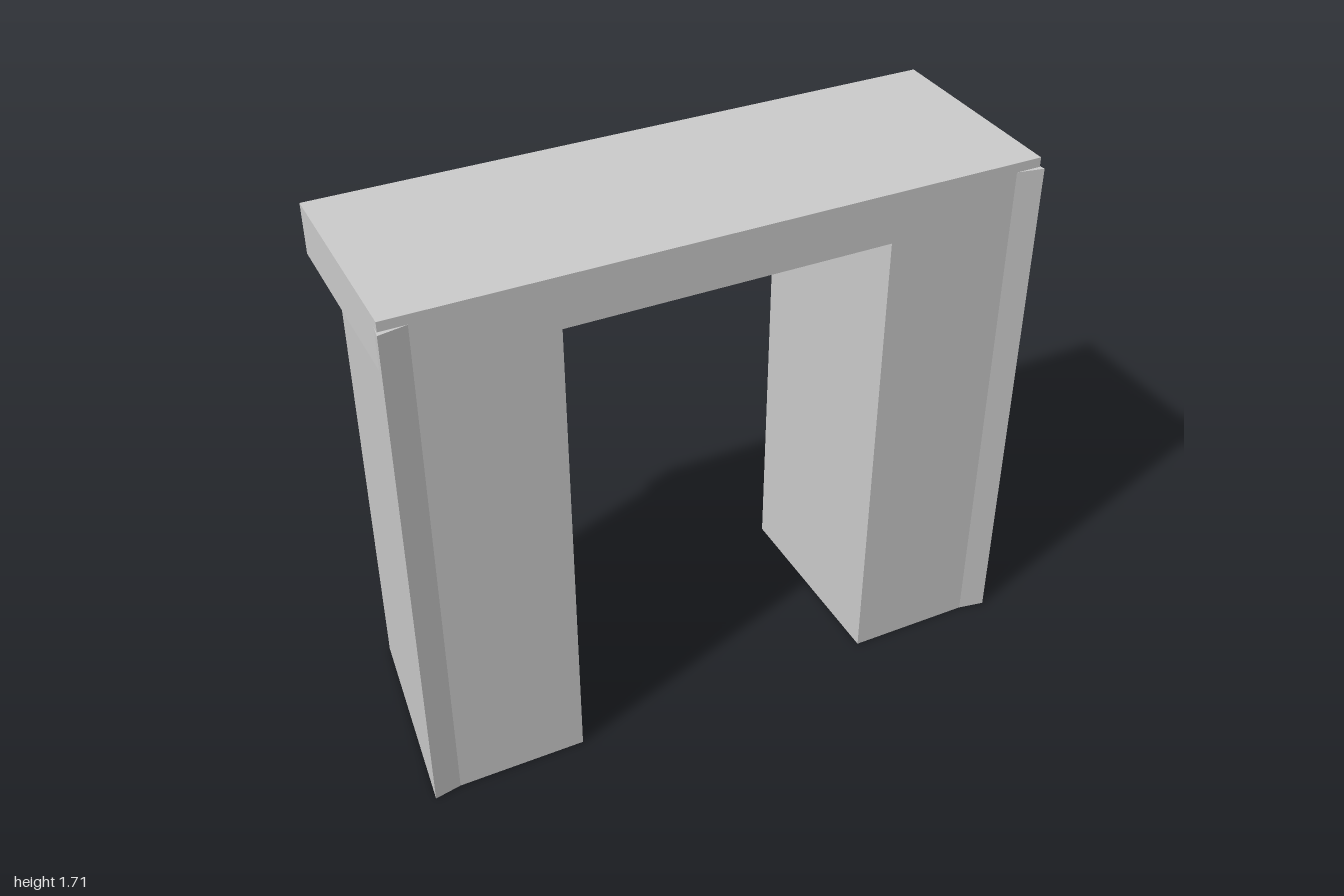
import * as THREE from 'three';

const material = new THREE.MeshStandardMaterial({ color: 0xcccccc, flatShading: true });

// Upright prism from an [x, z] footprint, mirrored to either side
function prism(name, footprint, side, y0, y1) {
  const shape = new THREE.Shape(footprint.map(([x, z]) => new THREE.Vector2(side * x, -z)));
  const geometry = new THREE.ExtrudeGeometry(shape, { depth: y1 - y0, bevelEnabled: false });
  geometry.rotateX(-Math.PI / 2);
  geometry.translate(0, y0, 0);
  const mesh = new THREE.Mesh(geometry, material);
  mesh.name = name;
  return mesh;
}

export function createModel() {
  const group = new THREE.Group();
  group.name = 'archway';
  const back = -0.346, front = 0.33, underside = 1.55, top = 1.71;

  // Lintel slab across both pillars
  const lintel = new THREE.Mesh(new THREE.BoxGeometry(1.99, top - underside, front - back), material);
  lintel.position.set(0, (top + underside) / 2, (front + back) / 2);
  lintel.name = 'lintel';
  group.add(lintel);

  // Pillars widen towards the front and end in a slightly flared corner
  const pillar = [[0.505, back], [0.92, back], [1, 0.346], [0.915, front], [0.505, front]];
  // The flared corner carries on up past the end of the lintel
  const flare = [[0.915, front], [0.995, 0.303], [1, 0.346]];
  for (const [side, label] of [[1, 'left'], [-1, 'right']]) {
    group.add(prism(label + 'Pillar', pillar, side, 0, underside));
    group.add(prism(label + 'CornerFlare', flare, side, underside, 1.68));
  }
  return group;
}
